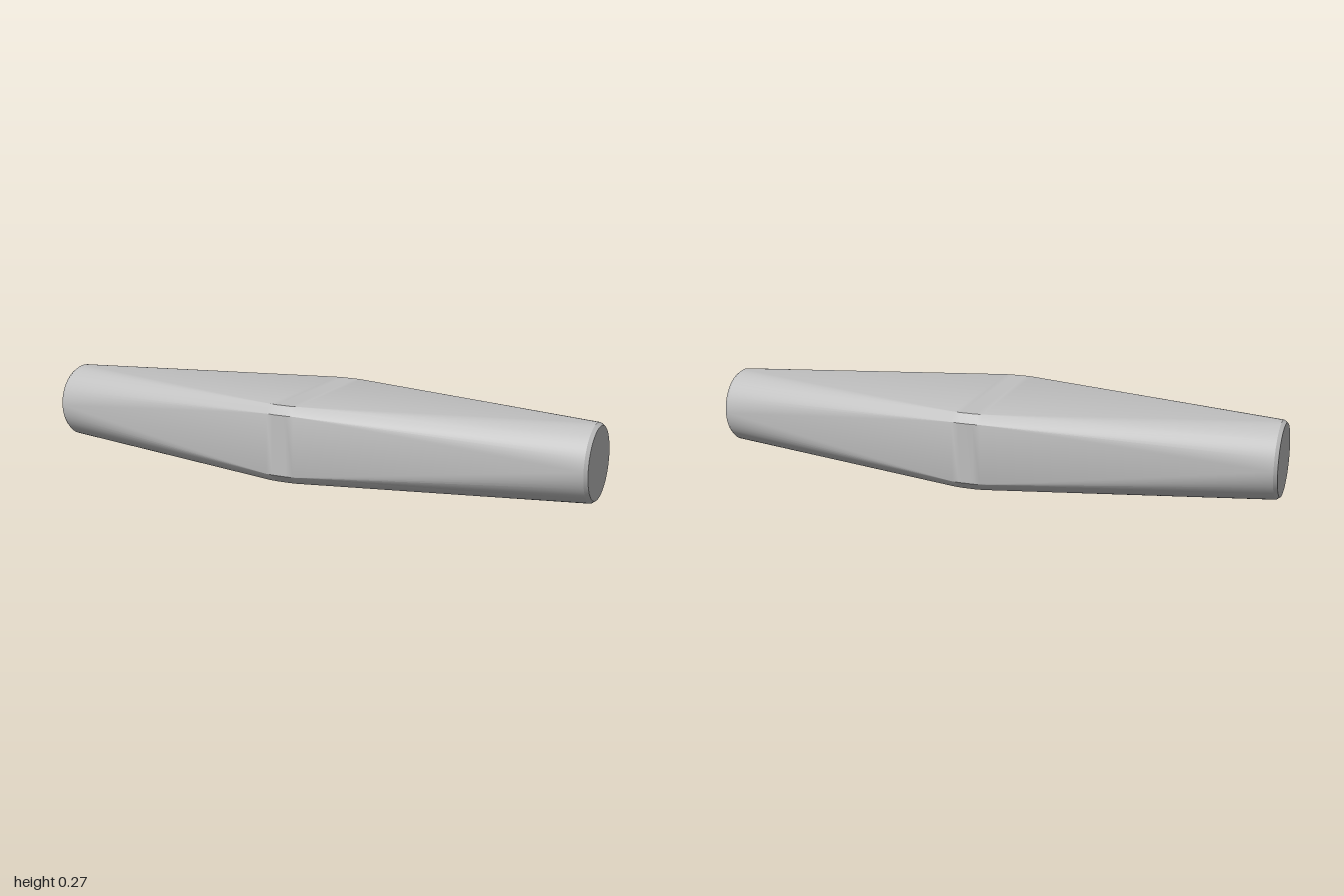
import * as THREE from 'three';
import { toCreasedNormals } from 'three/addons/utils/BufferGeometryUtils.js';

const STEPS = 14; // points per quarter turn
const HALF_H = 0.1315;

// Round section; quarter ends are doubled so it pairs with the flat-sided section
function roundSection(x, r) {
  const pts = [];
  for (let q = 0; q < 4; q++)
    for (let i = 0; i <= STEPS; i++) {
      const a = (q + i / STEPS) * Math.PI / 2;
      pts.push(new THREE.Vector3(x, r * Math.sin(a), r * Math.cos(a)));
    }
  return pts;
}

// Rectangle with chamfered corners; each half quarter gathers at one chamfer corner
function boxSection(x, halfZ, chamfer) {
  const pts = [];
  for (let q = 0; q < 4; q++) {
    const sy = q < 2 ? 1 : -1;
    const sz = q === 0 || q === 3 ? 1 : -1;
    for (let i = 0; i <= STEPS; i++) {
      const onSide = (i < STEPS / 2) === (q % 2 === 0);
      pts.push(new THREE.Vector3(x,
        sy * (HALF_H - (onSide ? chamfer : 0)),
        sz * (halfZ - (onSide ? 0 : chamfer))));
    }
  }
  return pts;
}

// Skin neighbouring sections, skipping collapsed triangles
function loft(sections) {
  const pos = [];
  const tri = (a, b, c) => {
    const n = b.clone().sub(a).cross(c.clone().sub(a));
    if (n.length() > 1e-9) for (const p of [a, b, c]) pos.push(p.x, p.y, p.z);
  };
  for (let i = 0; i < sections.length - 1; i++) {
    const s = sections[i], t = sections[i + 1], n = s.length;
    for (let j = 0; j < n; j++) {
      const k = (j + 1) % n;
      // split toward the corner that gathers the fan
      if (s[j].distanceTo(s[k]) < 1e-6) {
        tri(s[j], t[j], t[k]);
      } else {
        tri(s[j], t[j], s[k]);
        tri(t[j], t[k], s[k]);
      }
    }
  }
  const g = new THREE.BufferGeometry();
  g.setAttribute('position', new THREE.Float32BufferAttribute(pos, 3));
  return toCreasedNormals(g, 0.42);
}

export function createModel() {
  const group = new THREE.Group();
  const grey = new THREE.MeshStandardMaterial({ color: 0xc0c0c0 });
  grey.name = 'plain grey';

  // Round ends with chamfered rims, swelling to a wide flat middle
  const body = new THREE.Mesh(loft([
    roundSection(-1, 0),
    roundSection(-1, 0.122),
    roundSection(-0.988, 0.131),
    boxSection(-0.05, 0.28, 0.028),
    boxSection(-0.025, 0.283, 0.028),
    boxSection(0.025, 0.283, 0.028),
    boxSection(0.05, 0.28, 0.028),
    roundSection(0.988, 0.131),
    roundSection(1, 0.122),
    roundSection(1, 0),
  ]), grey);
  body.name = 'taperedBody';
  body.rotation.x = -0.0145; // slight roll
  body.position.y = 0.1365;
  group.add(body);
  return group;
}
